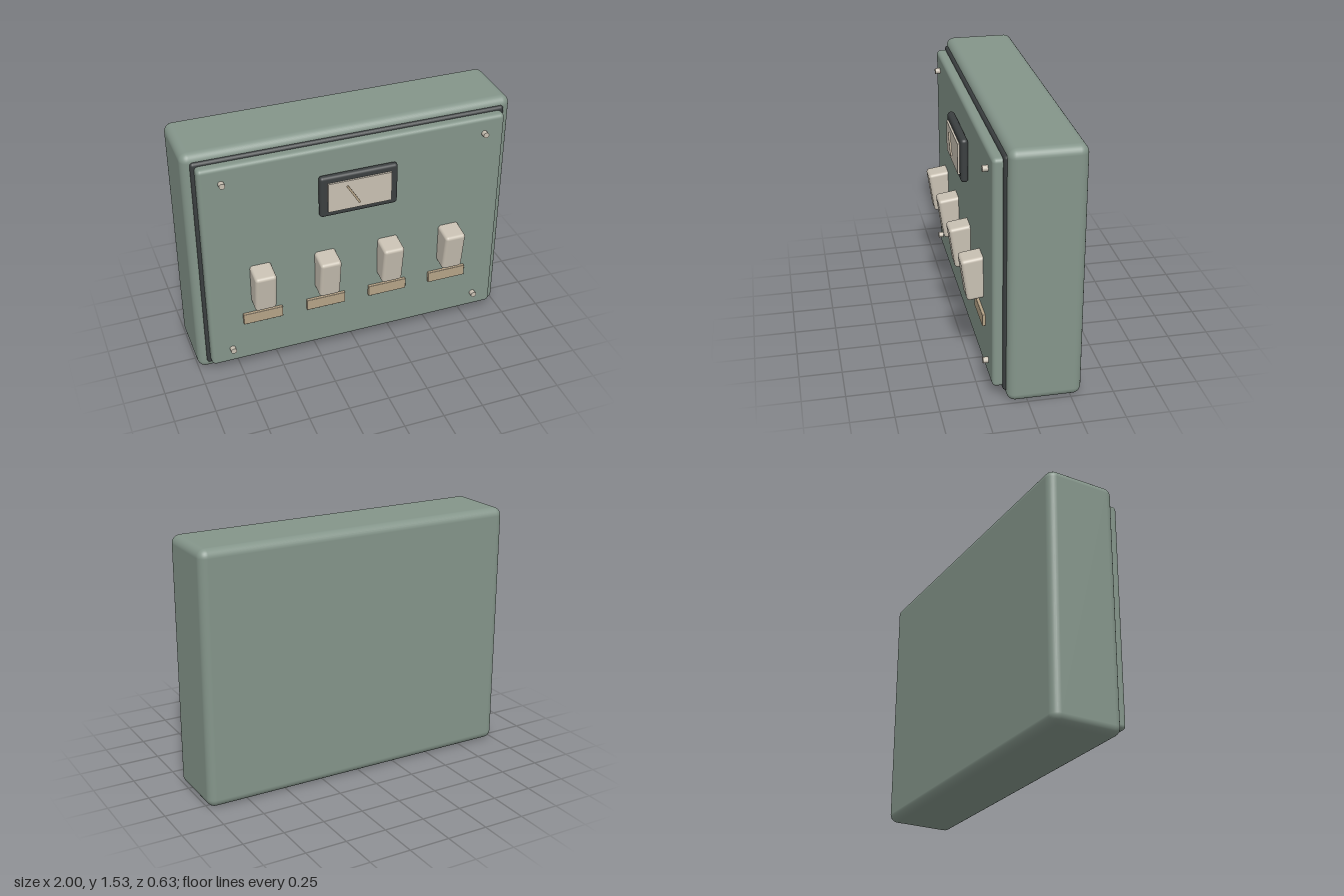
import * as THREE from 'three';
import { RoundedBoxGeometry } from 'three/addons/geometries/RoundedBoxGeometry.js';

export function createModel() {
  const model = new THREE.Group();
  model.name = 'switchPanel';

  const paint = (name, color) => {
    const m = new THREE.MeshStandardMaterial({ color });
    m.name = name;
    return m;
  };
  const green = paint('sageGreen', 0x84958a);
  const dark = paint('charcoal', 0x3b3f40);
  const cream = paint('cream', 0xc8c0b2);
  const tan = paint('tan', 0xb5a387);

  const add = (name, geometry, material, x, y, z) => {
    const mesh = new THREE.Mesh(geometry, material);
    mesh.name = name;
    mesh.position.set(x, y, z);
    model.add(mesh);
    return mesh;
  };
  const rounded = (w, h, d, r) => new RoundedBoxGeometry(w, h, d, 4, r);

  // Enclosure, dark seal and front plate
  add('enclosure', rounded(2, 1.53, 0.43, 0.05), green, 0, 0.765, -0.1);
  add('seal', rounded(1.9, 1.436, 0.06, 0.02), dark, 0, 0.768, 0.102);
  add('frontPlate', rounded(1.86, 1.395, 0.08, 0.025), green, 0, 0.768, 0.148);

  // Meter with its needle
  add('meterBezel', rounded(0.48, 0.27, 0.045, 0.02), dark, 0, 1.163, 0.212);
  add('meterFace', new THREE.BoxGeometry(0.39, 0.19, 0.015), cream, 0, 1.163, 0.239);
  const needle = add('meterNeedle', new THREE.BoxGeometry(0.013, 0.145, 0.009), tan, -0.042, 1.163, 0.251);
  needle.rotation.z = 0.55;

  // Tilted rocker switches above their label plates
  const switchShape = rounded(0.13, 0.26, 0.16, 0.02);
  const labelShape = rounded(0.246, 0.073, 0.022, 0.004);
  for (const x of [-0.6, -0.2, 0.2, 0.6]) {
    add('rockerSwitch', switchShape, cream, x, 0.626, 0.218).rotation.x = 0.14;
    add('labelPlate', labelShape, tan, x, 0.388, 0.195);
  }

  // Corner screws
  const screwShape = new THREE.CylinderGeometry(0.018, 0.018, 0.04, 12).rotateX(Math.PI / 2);
  for (const x of [-0.8, 0.8]) {
    for (const y of [0.175, 1.363]) add('cornerScrew', screwShape, cream, x, y, 0.199);
  }

  return model;
}
